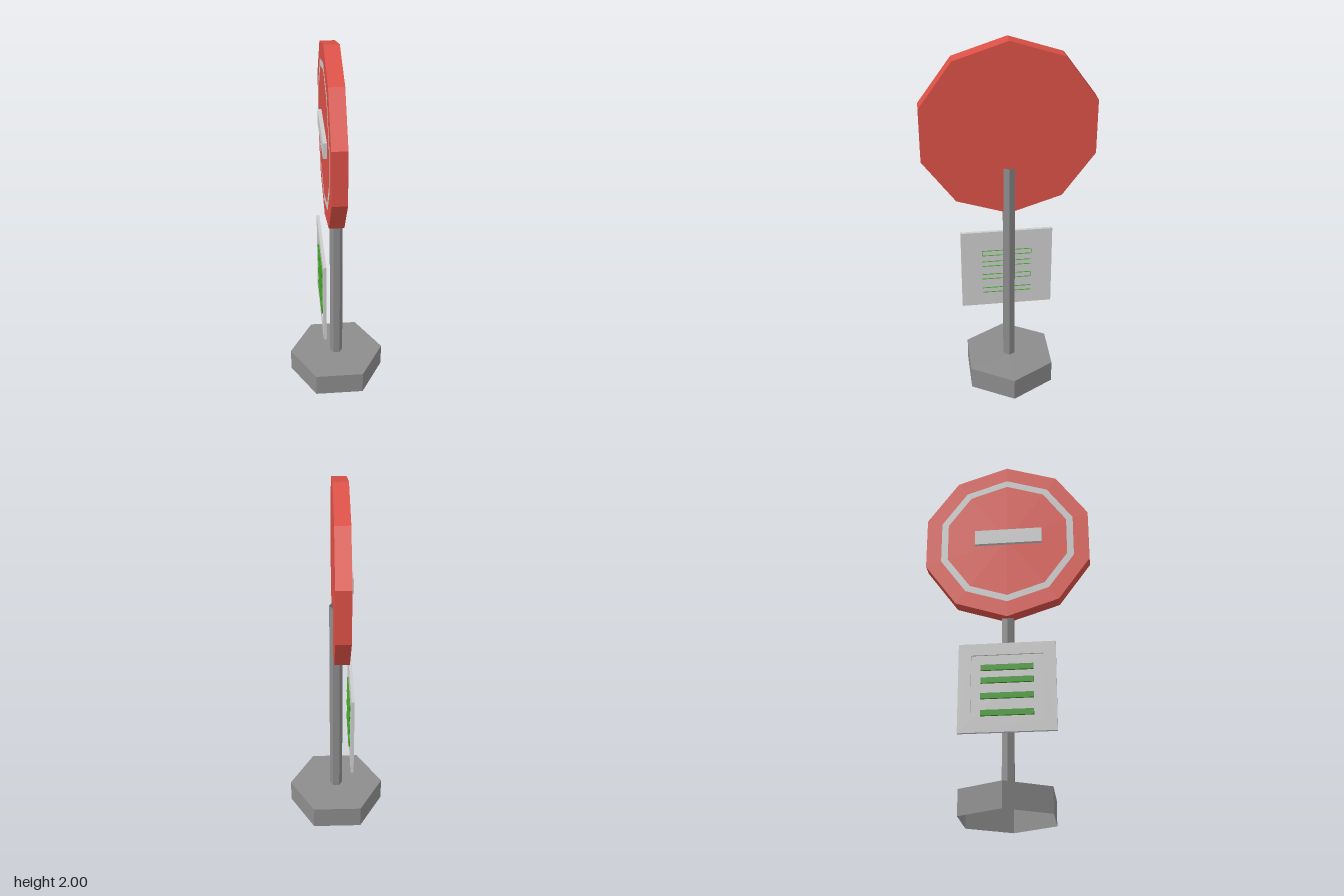
import * as THREE from 'three';

const mat = (name, color) => new THREE.MeshStandardMaterial({ name, color, side: THREE.DoubleSide });

export function createModel() {
  const root = new THREE.Group();
  const red = mat('sign red', 0xdc5147);
  const light = mat('light grey', 0xcccccc);
  const grey = mat('post grey', 0x8c8c8c);
  const green = mat('line green', 0x3c9a22);

  // Adds a facetted mesh
  function add(name, geometry, material, x = 0, y = 0, z = 0) {
    const g = geometry.index ? geometry.toNonIndexed() : geometry;
    g.computeVertexNormals();
    const mesh = new THREE.Mesh(g, material);
    mesh.name = name;
    mesh.position.set(x, y, z);
    root.add(mesh);
    return mesh;
  }

  // Hollow hexagonal foot: open below, with a hole in the top for the post
  const postR = 0.035, footR = 0.263, footH = 0.13, postTop = 1.33;
  add('footWall', new THREE.CylinderGeometry(footR, footR, footH, 6, 1, true, Math.PI / 2), grey, 0, footH / 2);
  add('footTop', new THREE.RingGeometry(postR, footR, 6, 1).rotateX(-Math.PI / 2), grey, 0, footH);

  // Open hexagonal post
  const postH = postTop - footH;
  add('post', new THREE.CylinderGeometry(postR, postR, postH, 6, 1, true, Math.PI / 2), grey, 0, footH + postH / 2);

  // Ten-sided sign facing -x
  const signR = 0.467, signY = 2 - signR, signFront = -0.06, signBack = 0.017;
  add('signBoard',
    new THREE.CylinderGeometry(signR, signR, signBack - signFront, 10, 1, false, Math.PI / 2).rotateZ(Math.PI / 2),
    red, (signFront + signBack) / 2, signY);
  add('signRing',
    new THREE.RingGeometry(0.342, 0.38, 10, 1, Math.PI / 2).rotateY(-Math.PI / 2),
    light, signFront - 0.002, signY);
  add('signBar', new THREE.BoxGeometry(0.02, 0.085, 0.365), light, signFront - 0.01, 1.543, 0.008);

  // Lower panel: back plate plus a raised frame around a shallow recess
  const panelY = 0.661, panelZ = 0.003, panelW = 0.5, panelH = 0.478;
  add('panelPlate', new THREE.BoxGeometry(0.008, panelH, panelW), light, -0.076, panelY, panelZ);
  const rect = (path, w, h) => path.moveTo(-w / 2, -h / 2).lineTo(w / 2, -h / 2)
    .lineTo(w / 2, h / 2).lineTo(-w / 2, h / 2).closePath();
  const frame = rect(new THREE.Shape(), panelW, panelH);
  frame.holes.push(rect(new THREE.Path(), 0.37, 0.35));
  add('panelFrame',
    new THREE.ExtrudeGeometry(frame, { depth: 0.008, bevelEnabled: false }).rotateY(-Math.PI / 2),
    light, -0.08, panelY, panelZ);

  // Green lines pass through the panel and are open at the back
  for (const y of [0.767, 0.698, 0.614, 0.524]) {
    const line = new THREE.BoxGeometry(0.027, 0.03, 0.27);
    line.setIndex(Array.from(line.index.array).slice(6));
    add('panelLine', line, green, -0.0775, y, panelZ);
  }
  return root;
}
